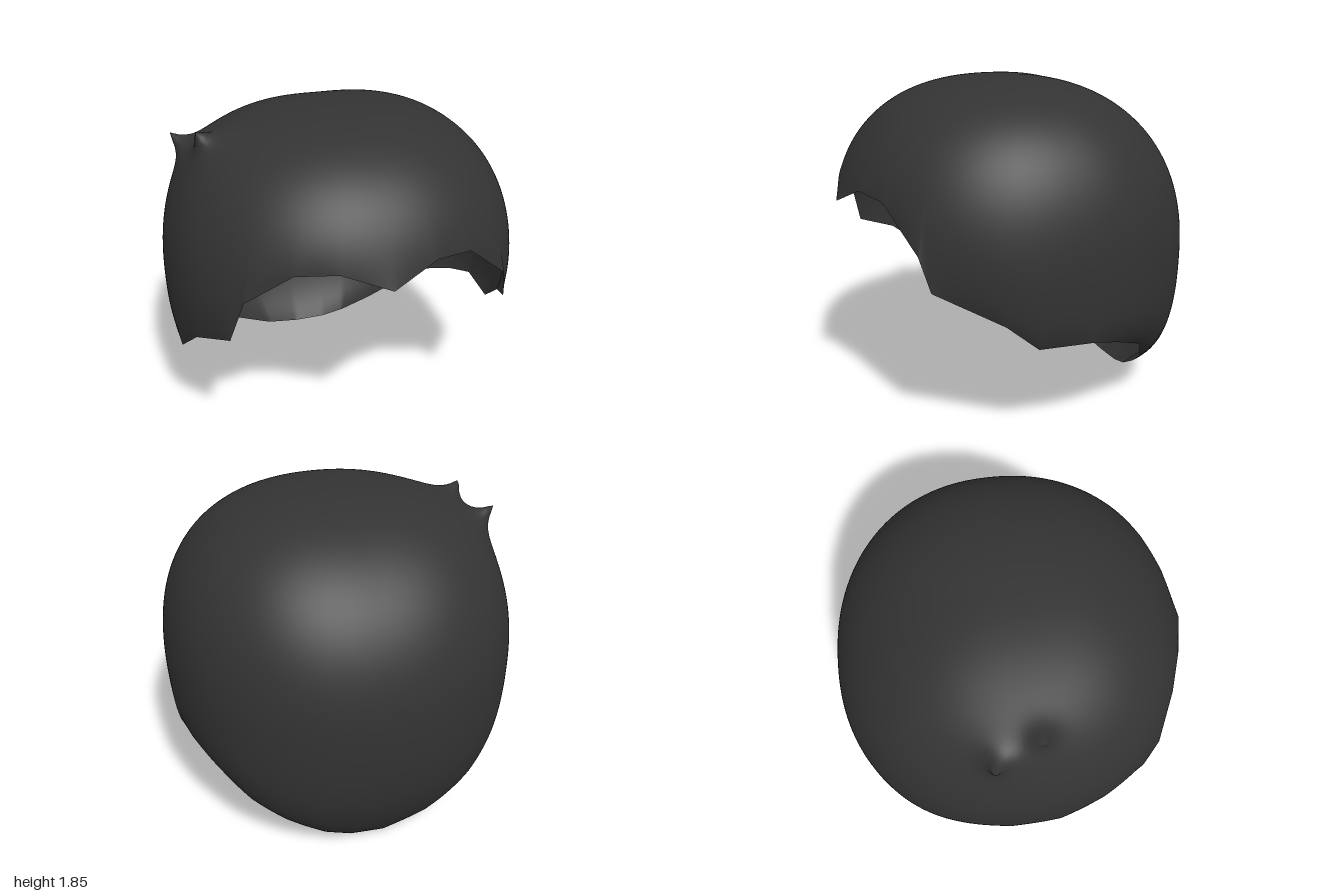
import * as THREE from 'three';

const CENTRE = new THREE.Vector3(0, 0.85, 0);

// Jagged lower edge of the hair: from the fringe point, round the left side, the nape, and back
const RIM = [
  [0, 1.2, 0.99], [0.25, 1.3, 0.92], [0.46, 1.28, 0.85], [0.72, 1.06, 0.75], [0.76, 0.88, 0.7],
  [0.91, 0.71, 0.37], [0.93, 0.57, 0.2], [0.96, 0.57, -0.1], [0.9, 0.52, -0.27], [0.77, 0.42, -0.49],
  [0.62, 0.27, -0.59], [0.45, 0.15, -0.65], [0.27, 0.05, -0.7], [0.13, 0.01, -0.72], [-0.06, 0, -0.73],
  [-0.27, 0.04, -0.7], [-0.5, 0.15, -0.65], [-0.68, 0.29, -0.59], [-0.8, 0.41, -0.49], [-0.91, 0.52, -0.27],
  [-0.97, 0.57, -0.1], [-0.96, 0.57, 0.2], [-0.9, 0.77, 0.45], [-0.76, 0.88, 0.7], [-0.69, 1.12, 0.76],
  [-0.46, 1.28, 0.85], [-0.25, 1.29, 0.92],
].map((p) => new THREE.Vector3(...p));

// Rounded dome: nearly round in plan, squarer in profile at the sides and front than at the back
function domePoint(azimuth, polar) {
  const d = new THREE.Vector3(
    Math.sin(polar) * Math.sin(azimuth), Math.cos(polar), Math.sin(polar) * Math.cos(azimuth));
  const side = Math.sin(azimuth) ** 2;
  const p = side * 2.6 + (1 - side) * (2.33 + 0.17 * Math.cos(azimuth));
  const plan = 2.2;
  const across = (Math.abs(d.x) ** plan + Math.abs(d.z) ** plan) ** (1 / plan);
  const drop = d.y < 0 ? d.y / 1.27 : d.y;
  const sum = across ** p + Math.abs(drop) ** p;
  return d.multiplyScalar(sum ** (-1 / p)).add(CENTRE);
}

const angles = (v) => {
  const d = v.clone().sub(CENTRE);
  return [Math.atan2(d.x, d.z), Math.acos(d.y / d.length())];
};

// Two small stray tufts on the upper right
const TUFTS = [[-0.785, 1.78, 0.08], [-0.89, 1.7, -0.17]].map((t) => {
  const tip = new THREE.Vector3(...t);
  const base = domePoint(...angles(tip));
  return { base, pull: tip.clone().sub(base) };
});

function addTufts(p) {
  const start = p.clone();
  for (const { base, pull } of TUFTS) {
    const d = start.distanceTo(base);
    p.addScaledVector(pull, 0.85 * Math.exp(-d / 0.045) + 0.17 * Math.exp(-((d / 0.22) ** 2)));
  }
  return p;
}

function hairGeometry(steps = 10, rows = 90) {
  const positions = [0, 1.85, 0];
  const index = [];
  const columns = RIM.length * steps;
  for (let i = 0; i < columns; i++) {
    const k = Math.floor(i / steps);
    const edge = RIM[k].clone().lerp(RIM[(k + 1) % RIM.length], (i % steps) / steps);
    const [azimuth, polar] = angles(edge);
    const offset = edge.clone().sub(domePoint(azimuth, polar));
    for (let j = 1; j <= rows; j++) {
      const t = j / rows;
      // the last rows curl in to meet the edge
      const p = addTufts(domePoint(azimuth, polar * t)).addScaledVector(offset, t ** 14);
      positions.push(p.x, p.y, p.z);
    }
    const a = 1 + i * rows;
    const b = 1 + ((i + 1) % columns) * rows;
    index.push(0, a, b);
    for (let j = 0; j < rows - 1; j++) {
      index.push(a + j, a + j + 1, b + j + 1, a + j, b + j + 1, b + j);
    }
  }
  const geometry = new THREE.BufferGeometry();
  geometry.setAttribute('position', new THREE.Float32BufferAttribute(positions, 3));
  geometry.setIndex(index);
  geometry.computeVertexNormals();
  return geometry;
}

export function createModel() {
  const group = new THREE.Group();
  group.name = 'hairCap';
  const charcoal = new THREE.MeshStandardMaterial({ color: 0x333333, side: THREE.DoubleSide });
  charcoal.name = 'charcoal';
  const hair = new THREE.Mesh(hairGeometry(), charcoal);
  hair.name = 'hair';
  group.add(hair);
  return group;
}
